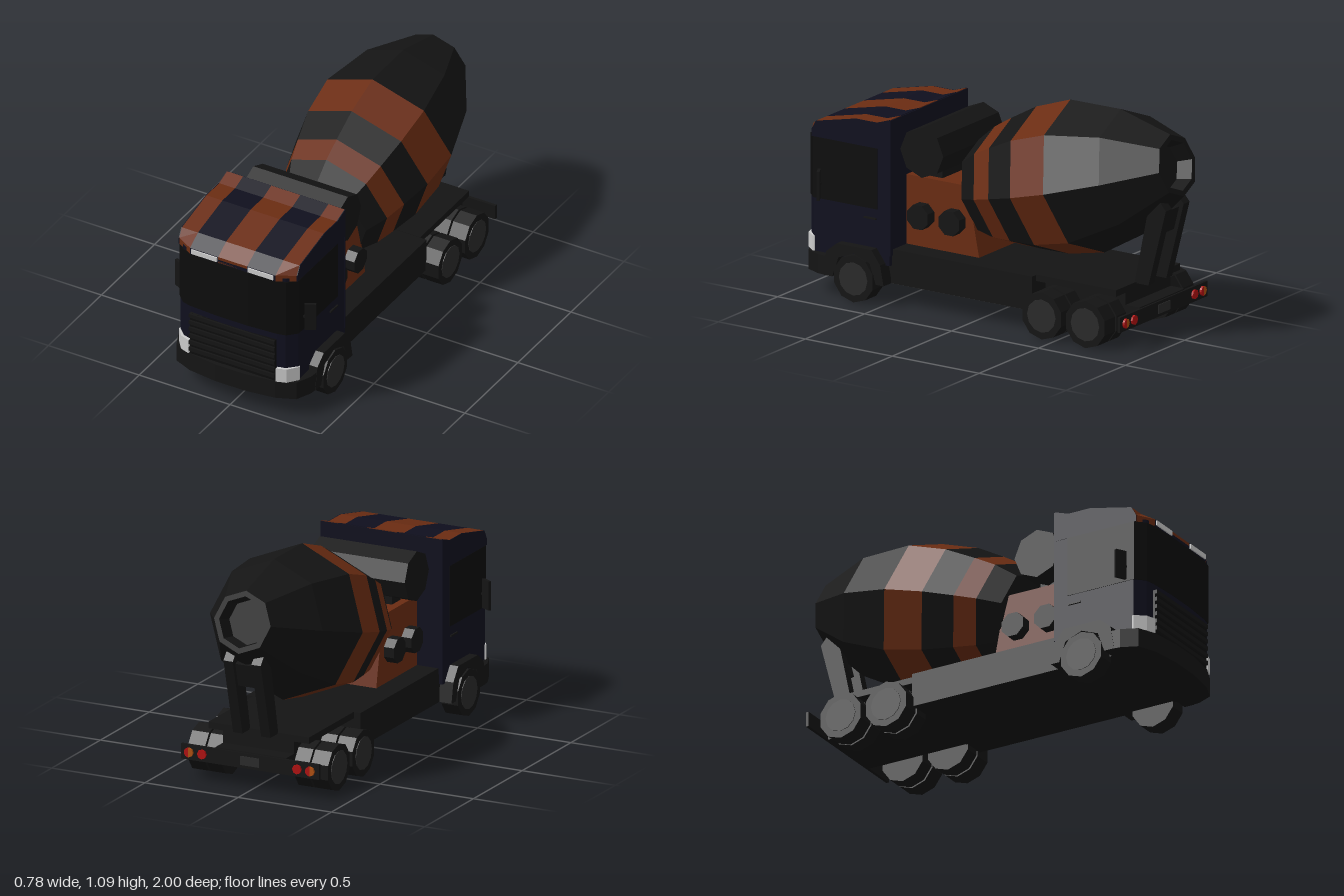
import * as THREE from 'three';

const mat = (color) => new THREE.MeshStandardMaterial({ color, flatShading: true, side: THREE.DoubleSide });

export function createModel() {
  const root = new THREE.Group();
  const black = mat(0x141414), dark = mat(0x0c0c0c), navy = mat(0x0f0f1e), orange = mat(0x6a2c12);
  const grey = mat(0x2a2a2a), lamp = mat(0xcccccc), red = mat(0xb01010), amber = mat(0xb05010);

  const add = (name, geo, m, parent = root) => {
    const mesh = new THREE.Mesh(geo, m);
    mesh.name = name;
    parent.add(mesh);
    return mesh;
  };
  // Box given by its limits on each axis
  const box = (name, m, x0, x1, y0, y1, z0, z1) => add(name,
    new THREE.BoxGeometry(x1 - x0, y1 - y0, z1 - z0).translate((x0 + x1) / 2, (y0 + y1) / 2, (z0 + z1) / 2), m);
  const shapeOf = (pts) => new THREE.Shape(pts.map(([a, b]) => new THREE.Vector2(a, b)));
  // Plan outline [x, z] raised from y0 to y1
  const plan = (pts, y0, y1) => new THREE.ExtrudeGeometry(shapeOf(pts.map(([x, z]) => [x, -z])),
    { depth: y1 - y0, bevelEnabled: false }).rotateX(-Math.PI / 2).translate(0, y0, 0);
  // Side outline [z, y] stretched from x0 to x1
  const side = (shape, x0, x1) => new THREE.ExtrudeGeometry(shape,
    { depth: x1 - x0, bevelEnabled: false }).rotateY(-Math.PI / 2).translate(x1, 0, 0);
  const mirrored = (half) => [...half, ...half.map(([x, z]) => [-x, z]).reverse()];
  // Cylinder lying along x
  const axle = (r, x0, x1, y, z, n, turn = 0) => new THREE.CylinderGeometry(r, r, x1 - x0, n)
    .rotateY(turn).rotateZ(Math.PI / 2).translate((x0 + x1) / 2, y, z);

  // Chassis
  box('sidePanels', black, -0.305, 0.305, 0.1, 0.27, -0.33, 0.48);
  box('rearFrame', black, -0.19, 0.19, 0.1, 0.27, -0.79, -0.33);
  box('frameTail', black, -0.19, 0.19, 0.1, 0.18, -0.87, -0.79);
  box('rearDeck', black, -0.27, 0.27, 0.24, 0.272, -0.79, -0.33);
  box('lampBar', black, -0.37, 0.37, 0.1, 0.175, -0.88, -0.865);
  box('rearPlate', grey, -0.05, 0.05, 0.115, 0.16, -0.884, -0.88);

  // Cab body, wrap-around glass and bumper
  const cabFront = [[0.325, 0.91], [0.28, 0.955], [0.235, 0.965], [0.08, 0.975]];
  add('cabBody', plan(mirrored([[0.325, 0.475], ...cabFront]), 0.19, 0.78), navy);
  add('cabGlass', plan(mirrored([[0.328, 0.545], ...cabFront.map(([x, z]) => [x + 0.003, z + 0.004])]), 0.46, 0.762), dark);
  box('cabBackPanel', navy, -0.327, 0.327, 0.24, 0.912, 0.47, 0.478);
  add('bumper', plan(mirrored([[0.3, 0.475], [0.3, 0.8], [0.37, 0.8], [0.365, 0.86], [0.33, 0.94],
    [0.235, 0.98], [0.08, 1.0]]), 0.1, 0.195), black);

  // Grille
  box('grillePanel', dark, -0.235, 0.235, 0.195, 0.425, 0.94, 0.977);
  for (let i = 0; i < 6; i++) {
    const y = 0.215 + i * 0.038;
    box('grilleSlat', black, -0.235, 0.235, y, y + 0.02, 0.95, 0.987);
  }

  // Striped roof
  const roof = shapeOf([[0.475, 0.762], [0.475, 0.915], [0.55, 0.89], [0.67, 0.89], [0.9, 0.84], [0.975, 0.795], [0.975, 0.762]]);
  add('roofCentreStripe', side(roof, -0.08, 0.08), orange);
  for (const s of [1, -1]) {
    const strip = (a, b) => side(roof, Math.min(s * a, s * b), Math.max(s * a, s * b));
    // Pull the front corners back on the outer strips
    const chamfer = (geo) => {
      const p = geo.attributes.position;
      for (let i = 0; i < p.count; i++) {
        if (Math.abs(p.getX(i)) > 0.3 && p.getZ(i) > 0.93) p.setZ(i, p.getZ(i) - 0.05);
      }
      return geo;
    };
    add('roofInnerStripe', strip(0.08, 0.235), navy);
    add('roofOuterStripe', chamfer(strip(0.235, 0.323)), orange);
    add('roofSidePanel', chamfer(strip(0.323, 0.327)), navy);
  }

  // Paired cab details
  for (const s of [1, -1]) {
    const pair = (name, m, x0, x1, ...rest) => box(name, m, Math.min(s * x0, s * x1), Math.max(s * x0, s * x1), ...rest);
    const lo = (a, b) => [Math.min(s * a, s * b), Math.max(s * a, s * b)];
    pair('roofLamp', lamp, 0.085, 0.225, 0.768, 0.792, 0.96, 0.982);
    add('headlight', plan([[0.24, 0.905], [0.33, 0.905], [0.33, 0.915], [0.29, 0.965], [0.24, 0.982]]
      .map(([x, z]) => [s * x, z]), 0.195, 0.27), lamp);
    pair('doorHandle', black, 0.325, 0.333, 0.408, 0.416, 0.55, 0.62);
    // Mirror on an arm, angled outward
    pair('mirrorArm', black, 0.32, 0.345, 0.53, 0.54, 0.865, 0.875);
    const mirror = add('mirror', new THREE.BoxGeometry(0.056, 0.145, 0.014), black);
    mirror.position.set(s * 0.36, 0.537, 0.86);
    mirror.rotation.y = s * 0.5;

    // Front mudguard with a wheel opening
    const arch = shapeOf([[0.48, 0.1], [0.5, 0.2], [0.55, 0.268], [0.75, 0.268], [0.81, 0.22], [0.83, 0.1],
      [0.775, 0.1], [0.74, 0.2], [0.65, 0.235], [0.56, 0.2], [0.525, 0.1]]);
    add('mudguard', side(arch, ...lo(0.29, 0.37)), black);

    // Wheels: single in front, double on the two rear axles
    const wheel = (x0, x1, z) => {
      add('tyre', axle(0.117, ...lo(x0, x1), 0.11, z, 10, Math.PI / 10), black);
      add('hub', axle(0.082, ...lo(x1 - 0.02, x1 + 0.003), 0.11, z, 12), grey);
    };
    wheel(0.285, 0.375, 0.65);
    for (const z of [-0.433, -0.684]) {
      wheel(0.195, 0.275, z);
      wheel(0.285, 0.375, z);
    }

    // Tail lamps
    [[0.325, amber], [0.255, red]].forEach(([x, m]) => add('tailLamp',
      new THREE.CylinderGeometry(0.024, 0.024, 0.012, 8).rotateX(Math.PI / 2).translate(s * x, 0.138, -0.884), m));
    add('tailLampOuter', new THREE.CylinderGeometry(0.024, 0.024, 0.014, 8, 1, false, 0, Math.PI)
      .rotateX(Math.PI / 2).translate(s * 0.325, 0.138, -0.884), red);

    // Round ports on the drum stand
    for (const z of [0.37, 0.19]) add('standPort', axle(0.064, ...lo(0.17, 0.245), 0.43, z, 8, Math.PI / 8), black);

    // Rear drum leg
    const leg = shapeOf([[-0.78, 0.265], [-0.86, 0.265], [-0.96, 0.65], [-0.9, 0.72], [-0.85, 0.6]]);
    add('drumLeg', side(leg, ...lo(0.05, 0.1)), black);
  }
  const brace = add('legBrace', new THREE.BoxGeometry(0.2, 0.12, 0.04), black);
  brace.position.set(0, 0.58, -0.9);
  brace.rotation.x = -0.25;

  // Drum stand and water tank
  add('drumStand', side(shapeOf([[0.475, 0.245], [0.475, 0.615], [0.12, 0.615], [0.05, 0.255]]), -0.19, 0.19), orange);
  box('tankCradle', black, -0.15, 0.15, 0.6, 0.66, 0.29, 0.38);
  add('waterTank', axle(0.124, -0.26, 0.26, 0.76, 0.335, 8), black);

  // Mixing drum: eight-sided bands of alternating colour on a tilted axis
  const drum = new THREE.Group();
  drum.name = 'drum';
  drum.position.set(0, 0.56, 0.123);
  drum.rotation.x = -1.3055;
  root.add(drum);
  const bands = [
    ['drumFront', black, [[0, 0], [0.236, 0], [0.29, 0.11]]],
    ['drumNarrowBand', orange, [[0.29, 0.11], [0.322, 0.22]]],
    ['drumMiddle', black, [[0.322, 0.22], [0.362, 0.377]]],
    ['drumWideBand', orange, [[0.362, 0.377], [0.376, 0.585]]],
    ['drumRear', black, [[0.376, 0.585], [0.302, 0.865], [0.152, 1.119], [0.125, 1.119], [0.11, 1.04], [0, 1.04]]],
  ];
  for (const [name, m, pts] of bands) {
    add(name, new THREE.LatheGeometry(pts.map(([r, t]) => new THREE.Vector2(r, t)), 8), m, drum);
  }
  return root;
}
